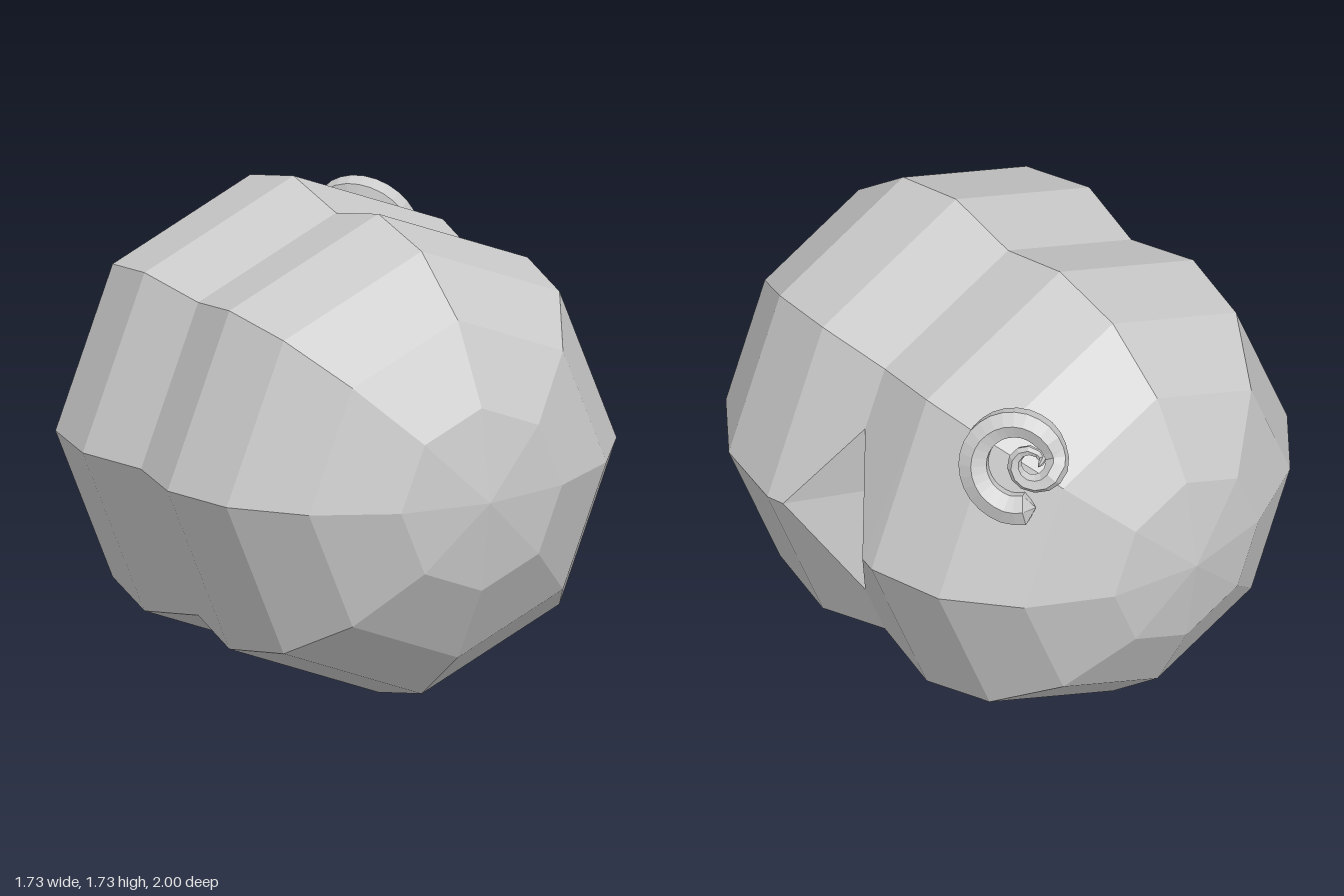
import * as THREE from 'three';

const material = new THREE.MeshStandardMaterial({ color: 0xcccccc, flatShading: true, side: THREE.DoubleSide });
const V = (x, y, z) => new THREE.Vector3(x, y, z);
const SIDES = 8;
const CENTRE_Y = 0.87;

// Eight-sided lobed body lying along z, with a wedge notch in its left ridge
function bodyGeometry() {
  const half = [[1, 0], [0.945, 0.33], [0.79, 0.61], [0.555, 0.8], [0.275, 0.865]];
  const profile = [...half, [0, 0.8], ...half.map(([z, r]) => [-z, r]).reverse()];
  const point = (i, j) => {
    const a = (j * Math.PI * 2) / SIDES, [z, r] = profile[i];
    return V(r * Math.cos(a), r * Math.sin(a), z);
  };
  const pos = [];
  // Triangles are wound to face away from the body centre
  const tri = (a, b, c) => {
    const n = b.clone().sub(a).cross(c.clone().sub(a));
    if (n.length() < 1e-6) return;
    const flip = n.dot(a.clone().add(b).add(c)) < 0;
    for (const p of flip ? [a, c, b] : [a, b, c]) pos.push(p.x, p.y, p.z);
  };
  const waist = 5;
  for (let i = 0; i < profile.length - 1; i++) {
    for (let j = 0; j < SIDES; j++) {
      if ((i === waist || i === waist - 1) && (j === 0 || j === SIDES - 1)) continue;
      tri(point(i, j), point(i + 1, j), point(i + 1, j + 1));
      tri(point(i, j), point(i + 1, j + 1), point(i, j + 1));
    }
  }
  // Four clipped panels around the notch, and the notch walls
  const apex = V(0.6, 0.06, 0);
  for (const sz of [1, -1]) {
    for (const sy of [1, -1]) {
      const ring = waist - sz;
      const ridge = point(ring, 0), corner = point(ring, sy), waistCorner = point(waist, sy);
      const lip = V(0.85, 0, 0.21 * sz), tip = V(0.655, 0.35 * sy, 0);
      tri(lip, ridge, corner);
      tri(lip, corner, waistCorner);
      tri(lip, waistCorner, tip);
      tri(lip, tip, apex);
    }
  }
  const g = new THREE.BufferGeometry();
  g.setAttribute('position', new THREE.Float32BufferAttribute(pos, 3));
  g.computeVertexNormals();
  return g;
}

// Tube whose radius follows a rule along the path
function taperedTube(curve, segments, sides, radiusAt) {
  const g = new THREE.TubeGeometry(curve, segments, 1, sides, false);
  const p = g.attributes.position, v = V(0, 0, 0);
  for (let i = 0; i <= segments; i++) {
    const c = curve.getPointAt(i / segments), r = radiusAt(i / segments);
    for (let j = 0; j <= sides; j++) {
      const k = i * (sides + 1) + j;
      v.fromBufferAttribute(p, k).sub(c).multiplyScalar(r).add(c);
      p.setXYZ(k, v.x, v.y, v.z);
    }
  }
  g.computeVertexNormals();
  return g;
}

// Curled stem: one wide turn, then a smaller rising coil with a pointed tip
function stemGeometry() {
  const path = [];
  for (let k = 0; k <= 8; k++) {
    const a = THREE.MathUtils.degToRad(-65 - k * 35), r = 0.17 - 0.004 * k;
    path.push(V(r * Math.cos(a), r * Math.sin(a), 0));
  }
  for (let k = 0; k <= 7; k++) {
    const a = THREE.MathUtils.degToRad(-20 - k * 42), r = 0.08 - 0.004 * k;
    path.push(V(0.06 + r * Math.cos(a), 0.02 + r * Math.sin(a), 0.03 + 0.007 * k));
  }
  path.push(V(0.1, 0.05, 0.16));
  const radiusAt = (t) => {
    if (t === 0 || t === 1) return 0.002;
    return t < 0.55 ? 0.062 - 0.02 * t : Math.max(0.006, 0.05 - 0.095 * (t - 0.55));
  };
  return taperedTube(new THREE.CatmullRomCurve3(path), 36, 6, radiusAt);
}

export function createModel() {
  const model = new THREE.Group();

  const body = new THREE.Mesh(bodyGeometry(), material);
  body.name = 'body';
  body.position.y = CENTRE_Y;
  model.add(body);

  // Stem lies on the upper back left of the body, facing outward
  const stem = new THREE.Mesh(stemGeometry(), material);
  stem.name = 'curledStem';
  const normal = V(0.76, 0.33, -0.57).normalize();
  const across = V(-0.6, 0, -0.8);
  const up = normal.clone().cross(across).normalize();
  stem.quaternion.setFromRotationMatrix(new THREE.Matrix4().makeBasis(across, up, normal));
  stem.position.set(0.52, 1.38, -0.655);
  model.add(stem);

  return model;
}
